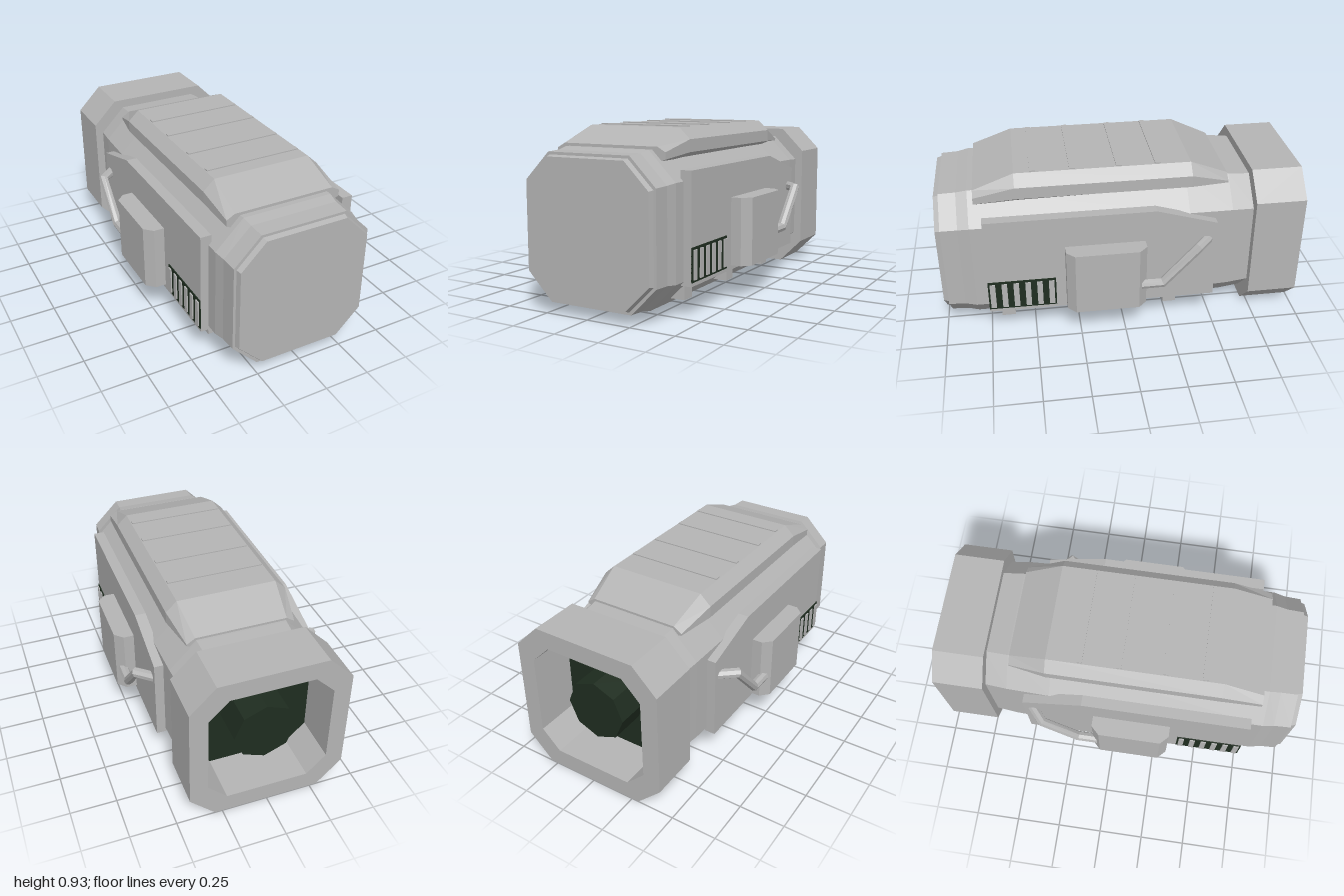
import * as THREE from 'three';

const hull = new THREE.MeshStandardMaterial({ color: 0xb4b4b4, flatShading: true });
hull.name = 'hull grey';
const dark = new THREE.MeshStandardMaterial({ color: 0x1f2d20, flatShading: true });
dark.name = 'dark green';

const MID = 0.433; // height of the long axis

// Chamfered rectangle, counter-clockwise, half sizes w and h, corner cut c
const octagon = (w, h, c, y = MID) => [
  [w, y - h + c], [w, y + h - c], [w - c, y + h], [-w + c, y + h],
  [-w, y + h - c], [-w, y - h + c], [-w + c, y - h], [w - c, y - h],
];

const toShape = (pts) => new THREE.Shape(pts.map(([x, y]) => new THREE.Vector2(x, y)));
const extrude = (shape, depth) => new THREE.ExtrudeGeometry(shape, { depth, bevelEnabled: false });

// Skin over cross-sections [z, points], listed from front to back, with capped ends
function loft(sections) {
  const pos = [];
  const rings = sections.map(([z, pts]) => pts.map(([x, y]) => [x, y, z]));
  const tri = (a, b, c) => pos.push(...a, ...b, ...c);
  const n = rings[0].length;
  for (let i = 0; i + 1 < rings.length; i++) {
    for (let j = 0; j < n; j++) {
      const k = (j + 1) % n;
      const a = rings[i][j], b = rings[i][k], c = rings[i + 1][k], d = rings[i + 1][j];
      tri(a, d, b);
      tri(b, d, c);
    }
  }
  const front = rings[0], back = rings[rings.length - 1];
  for (let j = 1; j + 1 < n; j++) {
    tri(front[0], front[j], front[j + 1]);
    tri(back[0], back[j + 1], back[j]);
  }
  const g = new THREE.BufferGeometry();
  g.setAttribute('position', new THREE.Float32BufferAttribute(pos, 3));
  g.computeVertexNormals();
  return g;
}

// Pipe through straight runs with mitred bends
function pipe(points, radius) {
  const pts = points.map((p) => new THREE.Vector3(...p));
  const last = pts.length - 1;
  const dir = (i) => pts[i + 1].clone().sub(pts[i]).normalize();
  const curve = new THREE.Curve();
  curve.getPointAt = (t) => pts[Math.round(t * last)].clone();
  curve.getTangentAt = (t) => {
    const i = Math.round(t * last);
    return dir(Math.max(i - 1, 0)).add(dir(Math.min(i, last - 1))).normalize();
  };
  return new THREE.TubeGeometry(curve, last, radius, 8, false);
}

export function createModel() {
  const model = new THREE.Group();
  model.name = 'pod';

  const add = (name, geometry, material = hull, parent = model) => {
    const mesh = new THREE.Mesh(geometry, material);
    mesh.name = name;
    parent.add(mesh);
    return mesh;
  };
  const box = (name, w, h, d, x, y, z, material, parent) =>
    add(name, new THREE.BoxGeometry(w, h, d), material, parent).position.set(x, y, z);

  // Main body with stepped front hatch
  const bodyProfile = [
    [1, 0.362], [0.972, 0.37], [0.972, 0.384], [0.88, 0.388],
    [0.82, 0.4], [-0.36, 0.4], [-0.6, 0.392], [-0.73, 0.38],
  ];
  add('body', loft(bodyProfile.map(([z, w]) => [z, octagon(w, w * 0.993, w * 0.375)])));

  // Hollow rear collar with dark recess
  const collar = toShape(octagon(0.427, 0.43, 0.137, 0.43));
  collar.holes.push(toShape(octagon(0.33, 0.33, 0.105, 0.43)));
  add('rearCollar', extrude(collar, 0.28).translate(0, 0, -1));
  add('recessPlate', extrude(toShape(octagon(0.33, 0.33, 0.105, 0.43)), 0.009).translate(0, 0, -0.742), dark);
  const nozzle = new THREE.CylinderGeometry(0.17, 0.17, 0.2, 8).rotateX(Math.PI / 2);
  add('rearNozzle', nozzle, dark).position.set(0, 0.43, -0.84);

  // Raised roof hood: top width, top y, side width, shoulder y, lower y, base y
  const hoodSection = (tw, ty, w, my, ly, by) => [
    [w, ly], [w, my], [tw, ty], [-tw, ty], [-w, my], [-w, ly], [-w + 0.05, by], [w - 0.05, by],
  ];
  add('roofHood', loft([
    [0.79, hoodSection(0.28, 0.845, 0.325, 0.82, 0.785, 0.765)],
    [0.57, hoodSection(0.275, 0.927, 0.335, 0.87, 0.805, 0.77)],
    [-0.38, hoodSection(0.275, 0.927, 0.335, 0.87, 0.805, 0.78)],
    [-0.59, hoodSection(0.25, 0.835, 0.295, 0.805, 0.795, 0.785)],
  ]));
  for (const z of [0.47, 0.26, 0.01, -0.2]) box('roofRib', 0.54, 0.012, 0.03, 0, 0.927, z);

  for (const s of [1, -1]) {
    const side = new THREE.Group();
    side.name = s > 0 ? 'leftSide' : 'rightSide';
    model.add(side);

    // Side panel with sloped rear corner
    const panel = toShape([[-0.75, 0.165], [0.505, 0.165], [0.505, 0.635], [0.17, 0.735], [-0.75, 0.735]]);
    const panelGeo = extrude(panel, 0.06).rotateY(Math.PI / 2).translate(s > 0 ? 0.385 : -0.445, 0, 0);
    add('sidePanel', panelGeo, hull, side);

    // Equipment box with bevelled upright edges
    const plan = [[0.44, 0.325], [0.503, 0.325], [0.548, 0.28], [0.548, -0.065], [0.503, -0.11], [0.44, -0.11]];
    const caseGeo = extrude(toShape(plan.map(([x, z]) => [s * x, -z])), 0.365);
    add('sideCase', caseGeo.rotateX(-Math.PI / 2).translate(0, 0.19, 0), hull, side);

    // Vent: dark backing with pale slats
    box('ventBacking', 0.008, 0.175, 0.37, s * 0.446, 0.273, 0.565, dark, side);
    for (let i = 0; i < 6; i++) {
      box('ventSlat', 0.014, 0.15, 0.03, s * 0.45, 0.273, 0.725 - i * 0.064, hull, side);
    }

    // Bent handle pipe
    add('handle', pipe([
      [s * 0.512, 0.32, -0.08], [s * 0.512, 0.32, -0.2],
      [s * 0.512, 0.53, -0.39], [s * 0.43, 0.53, -0.46],
    ], 0.028), hull, side);

    // Lugs on the lower chamfer
    for (const z of [0.65, 0.19, -0.27]) box('lug', 0.08, 0.08, 0.075, s * 0.33, 0.115, z, hull, side);
  }
  return model;
}
